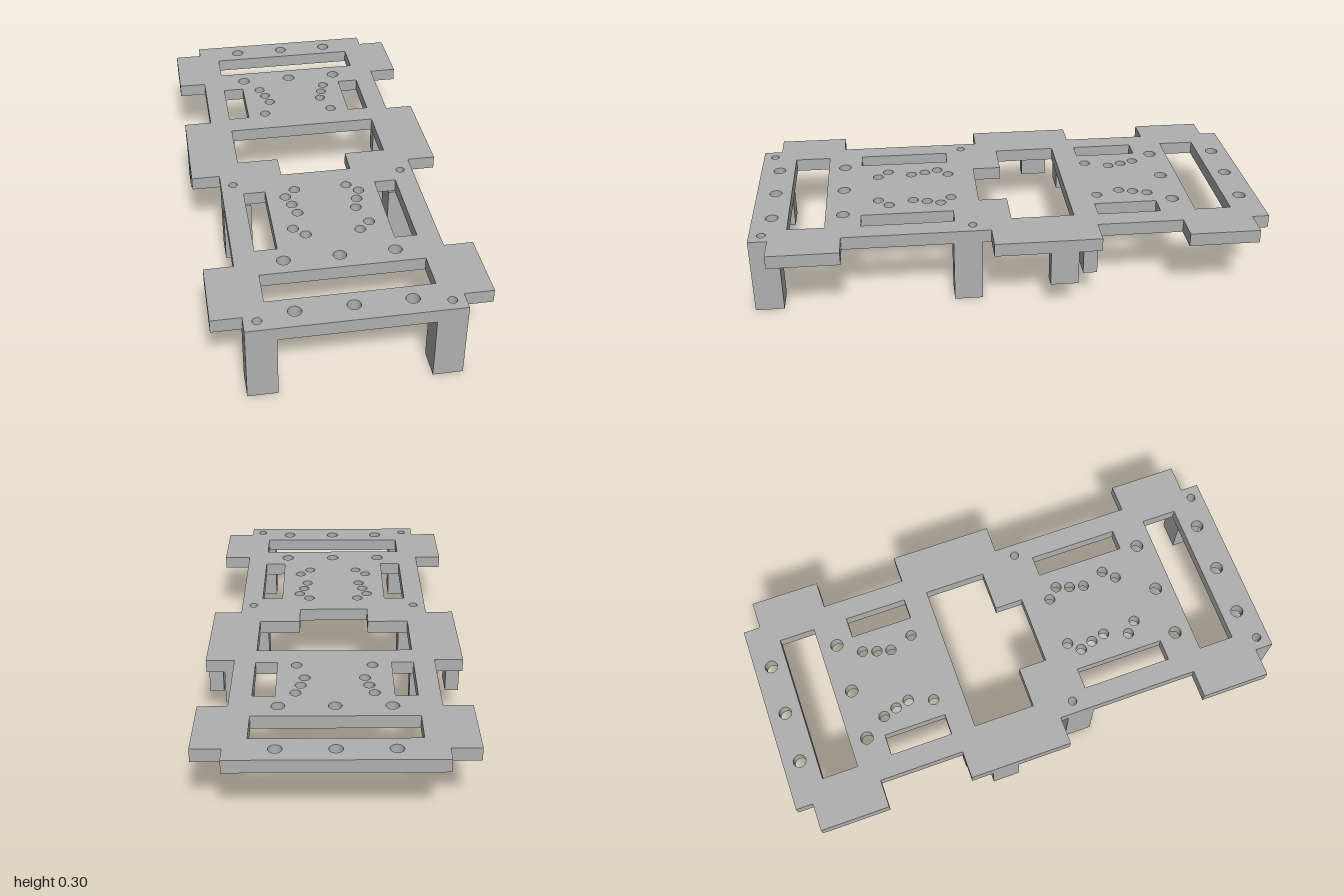
import * as THREE from 'three';

const TOP = 0.302, UNDER = 0.25; // deck top and underside

const rect = (T, x0, x1, z0, z1) => {
  const p = new T();
  p.moveTo(x0, z0);
  p.lineTo(x1, z0);
  p.lineTo(x1, z1);
  p.lineTo(x0, z1);
  p.closePath();
  return p;
};

const circle = (x, z, r) => new THREE.Path().absarc(x, z, r, 0, Math.PI * 2, true);

// Extrude a plan shape (x, z) between two heights
function slab(shape, y0, y1) {
  const g = new THREE.ExtrudeGeometry(shape, { depth: y1 - y0, bevelEnabled: false, curveSegments: 12 });
  g.rotateX(Math.PI / 2);
  g.translate(0, y1, 0);
  return g;
}

export function createModel() {
  const group = new THREE.Group();
  const grey = new THREE.MeshStandardMaterial({ color: 0xb0b0b0 });
  grey.name = 'plain grey';
  const add = (name, geometry) => {
    const mesh = new THREE.Mesh(geometry, grey);
    mesh.name = name;
    group.add(mesh);
  };

  // Deck outline with three pairs of side tabs
  const inner = 0.386, outer = 0.496;
  const side = [[inner, -1]];
  for (const [a, b] of [[-0.933, -0.66], [-0.325, 0.085], [0.655, 0.928]])
    side.push([inner, a], [outer, a], [outer, b], [inner, b]);
  side.push([inner, 1]);
  const outline = [...side, ...side.map(([x, z]) => [-x, z]).reverse()];
  const deck = new THREE.Shape(outline.map(([x, z]) => new THREE.Vector2(x, z)));

  // Cross slots and side slots
  const w = 0.303;
  deck.holes.push(rect(THREE.Path, -w, w, -0.87, -0.728), rect(THREE.Path, -w, w, 0.718, 0.86));
  for (const [a, b] of [[-0.59, -0.342], [0.22, 0.58]])
    deck.holes.push(rect(THREE.Path, -w, -0.219, a, b), rect(THREE.Path, 0.219, w, a, b));

  // Central opening with a front notch
  deck.holes.push(new THREE.Path([
    [-w, -0.245], [w, -0.245], [w, 0], [0.14, 0], [0.14, 0.113], [-0.14, 0.113], [-0.14, 0], [-w, 0],
  ].map(([x, z]) => new THREE.Vector2(x, z))));

  // Rows of large holes
  for (const z of [-0.934, -0.66, 0.65, 0.924])
    for (const x of [-0.206, 0, 0.206]) deck.holes.push(circle(x, z, 0.025));

  // Mirrored small holes
  const small = [
    [0.145, -0.57], [0.127, -0.515], [0.113, -0.46], [0.145, -0.364],
    [0.103, 0.222], [0.145, 0.265], [0.127, 0.318], [0.113, 0.374], [0.145, 0.47], [0.103, 0.512],
  ];
  const screws = [[0.338, 0.153], [0.338, 0.953]];
  for (const s of [-1, 1]) {
    for (const [x, z] of small) deck.holes.push(circle(s * x, z, 0.021));
    for (const [x, z] of screws) deck.holes.push(circle(s * x, z, 0.017));
  }
  add('deck', slab(deck, UNDER, TOP));

  // Tall legs with screw holes running through
  for (const s of [-1, 1]) {
    for (const [i, z0, z1] of [[0, 0.12, 0.23], [1, 0.89, 1]]) {
      const leg = rect(THREE.Shape, s * 0.331 - 0.055, s * 0.331 + 0.055, z0, z1);
      leg.holes.push(circle(s * screws[i][0], screws[i][1], 0.017));
      add(i ? 'frontLeg' : 'middleLeg', slab(leg, 0, UNDER));
    }
  }

  // Short posts under the middle tabs
  for (const [x0, x1, z0, z1] of [
    [0.441, outer, -0.237, -0.13], [-outer, -0.443, -0.237, -0.13],
    [0.318, 0.426, -0.322, -0.267], [-0.401, -0.293, -0.322, -0.267],
  ]) add('shortPost', slab(rect(THREE.Shape, x0, x1, z0, z1), 0.112, UNDER));

  return group;
}
